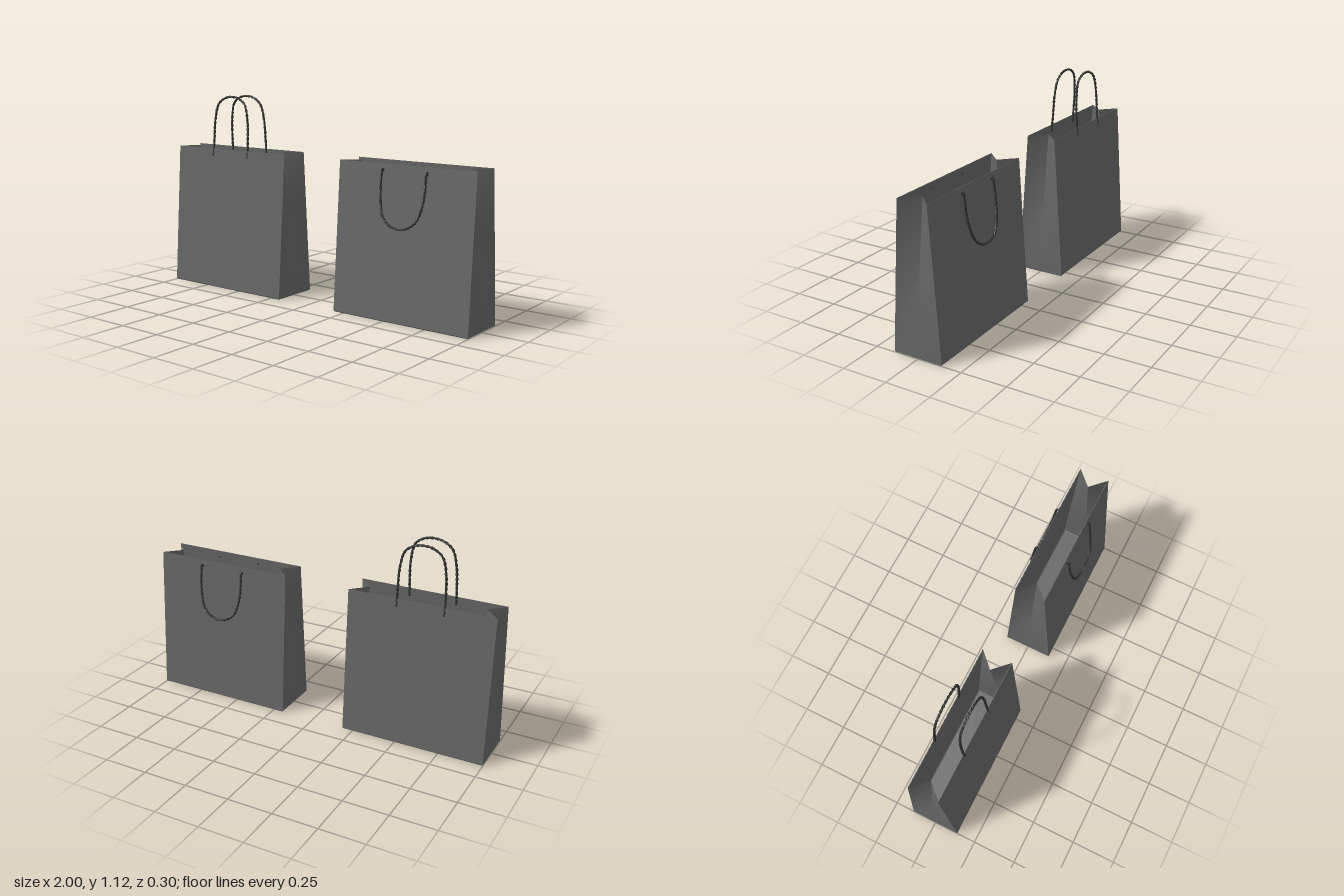
import * as THREE from 'three';
import { toCreasedNormals } from 'three/addons/utils/BufferGeometryUtils.js';

const W = 0.405, H = 0.81;           // half width and height of a bag
const D = 0.14, T = 0.085;           // half depth at the bottom and at the mouth
const FOLD = 0.085, APEX = 0.13;     // gusset depth at the mouth, height where it starts
const EDGE = 0.005;                  // softened bottom edge
const WB = W - EDGE, DB = D - EDGE;

const paper = new THREE.MeshStandardMaterial({ color: 0x666666, side: THREE.DoubleSide });
const cordMaterial = new THREE.MeshStandardMaterial({ color: 0x333333 });
const v = (x, y, z) => new THREE.Vector3(x, y, z);

function named(name, geometry, material) {
  const mesh = new THREE.Mesh(geometry, material);
  mesh.name = name;
  return mesh;
}

// Collects quads and triangles (counter-clockwise from outside)
function surface(build) {
  const points = [];
  const tri = (a, b, c) => points.push(a, b, c);
  const quad = (a, b, c, d) => { tri(a, b, c); tri(a, c, d); };
  build(tri, quad);
  return toCreasedNormals(new THREE.BufferGeometry().setFromPoints(points), 0.4);
}

// One broad panel with its softened bottom edge
const panelGeometry = surface((tri, quad) => {
  quad(v(-WB, 0, DB), v(WB, 0, DB), v(W, EDGE, D), v(-W, EDGE, D));
  quad(v(-W, EDGE, D), v(W, EDGE, D), v(W, H, T), v(-W, H, T));
});

// Side gusset: flat triangle below, two ruled halves folding inward above
const gussetGeometry = surface((tri, quad) => {
  const front = v(W, EDGE, D), back = v(W, EDGE, -D), apex = v(W, APEX, 0);
  quad(v(WB, 0, DB), v(WB, 0, -DB), back, front);
  tri(front, back, apex);
  const at = (a, b, s) => a.clone().lerp(b, s);
  const steps = 12;
  for (let i = 0; i < steps; i++) {
    const s = i / steps, e = (i + 1) / steps;
    const mid = k => at(apex, v(W - FOLD, H, 0), k);
    const f = k => at(front, v(W, H, T), k);
    const b = k => at(back, v(W, H, -T), k);
    quad(f(s), mid(s), mid(e), f(e));
    quad(mid(s), b(s), b(e), mid(e));
  }
});

// Base sheet, and a folded flap glued under it
const baseGeometry = surface((tri, quad) => {
  const y = 0.003;
  quad(v(-WB, y, DB), v(-WB, y, -DB), v(WB, y, -DB), v(WB, y, DB));
});
function flapGeometry(reach, y) {
  return surface((tri, quad) => {
    const inset = DB + reach;
    quad(v(-WB, y, DB), v(-WB + inset, y, -reach), v(WB - inset, y, -reach), v(WB, y, DB));
  });
}

// One strand of a twisted cord wound around a path
class Strand extends THREE.Curve {
  constructor(path, phase) {
    super();
    this.path = path;
    this.phase = phase;
  }
  getPoint(t, target = new THREE.Vector3()) {
    const angle = this.phase + t * Math.PI * 2 * 16;
    const z = v(0, 0, 1);
    const side = z.clone().cross(this.path.getTangentAt(t)).normalize();
    return target.copy(this.path.getPointAt(t))
      .addScaledVector(z, 0.003 * Math.cos(angle))
      .addScaledVector(side, 0.003 * Math.sin(angle));
  }
}

// Half of each handle, from the hole to the middle of the loop
const raised = [[0.13, 0.77, 0.085], [0.13, 0.85, 0.078], [0.124, 0.98, 0.071],
  [0.1, 1.068, 0.066], [0.05, 1.103, 0.064], [0, 1.111, 0.064]];
const hanging = [[0.13, 0.775, 0.086], [0.13, 0.785, 0.095], [0.128, 0.65, 0.116],
  [0.1, 0.545, 0.135], [0.05, 0.503, 0.143], [0, 0.494, 0.145]];

function makeHandle(half) {
  const left = half.map(([x, y, z]) => v(-x, y, z));
  const right = half.slice(0, -1).reverse().map(p => v(...p));
  const path = new THREE.CatmullRomCurve3([...left, ...right]);
  const handle = new THREE.Group();
  handle.name = 'handle';
  for (const phase of [0, Math.PI]) {
    handle.add(named('cordStrand', new THREE.TubeGeometry(new Strand(path, phase), 200, 0.0045, 6), cordMaterial));
  }
  // Cord ends on the inside of the panel
  for (const x of [-0.13, 0.13]) {
    const end = named('cordEnd', new THREE.SphereGeometry(0.007, 10, 8), cordMaterial);
    end.position.set(x, half[0][1], half[0][2]);
    end.scale.z = 0.6;
    handle.add(end);
  }
  return handle;
}

function makeBag(name, handlePath) {
  const bag = new THREE.Group();
  bag.name = name;
  // Each half has a panel, a gusset, a rim hem and a handle
  for (const turn of [0, Math.PI]) {
    const half = new THREE.Group();
    half.name = turn ? 'backHalf' : 'frontHalf';
    half.rotation.y = turn;
    half.add(named('panel', panelGeometry, paper), named('gusset', gussetGeometry, paper));
    const hem = named('rimHem', new THREE.BoxGeometry(W * 2 - 0.012, 0.06, 0.003), paper);
    hem.position.set(0, H - 0.03, T);
    hem.rotation.x = -Math.atan((D - T) / H);
    half.add(hem, makeHandle(handlePath));
    half.add(named('bottomFlap', turn ? flapGeometry(0, 0.0015) : flapGeometry(0.025, 0), paper));
    bag.add(half);
  }
  bag.add(named('base', baseGeometry, paper));
  return bag;
}

export function createModel() {
  const model = new THREE.Group();
  model.name = 'paperBags';
  const first = makeBag('bagWithRaisedHandles', raised);
  first.position.x = -0.595;
  const second = makeBag('bagWithHangingHandles', hanging);
  second.position.x = 0.595;
  model.add(first, second);
  return model;
}
